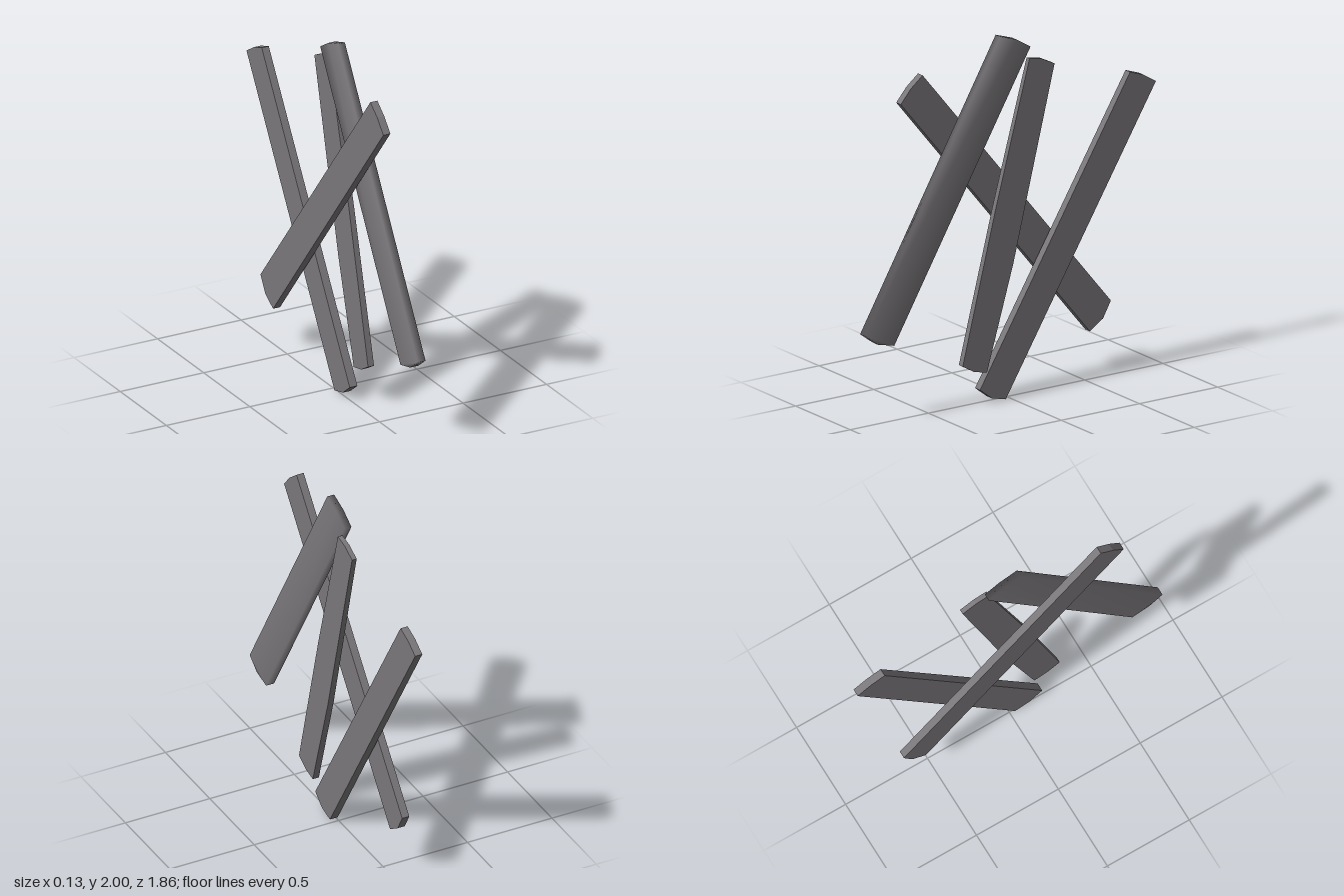
import * as THREE from 'three';
import { mergeVertices } from 'three/addons/utils/BufferGeometryUtils.js';

// A flat plank lying in the z-y plane: outline as [z, y] points,
// with the x range of its lower and upper ends.
function plankGeometry(outline, low, high, smooth) {
  const shape = new THREE.Shape(outline.map(([z, y]) => new THREE.Vector2(-z, y)));
  let geo = new THREE.ExtrudeGeometry(shape, { depth: 1, bevelEnabled: false });
  geo.rotateY(Math.PI / 2);

  // Set the thickness, varying slightly from the lower to the upper end
  geo.computeBoundingBox();
  const { min, max } = geo.boundingBox;
  const pos = geo.attributes.position;
  for (let i = 0; i < pos.count; i++) {
    const t = (pos.getY(i) - min.y) / (max.y - min.y);
    const x0 = THREE.MathUtils.lerp(low[0], high[0], t);
    const x1 = THREE.MathUtils.lerp(low[1], high[1], t);
    pos.setX(i, THREE.MathUtils.lerp(x0, x1, pos.getX(i)));
  }

  // Soft plank shares its normals across the edges
  if (smooth) {
    geo.deleteAttribute('normal');
    geo.deleteAttribute('uv');
    geo = mergeVertices(geo, 1e-4);
  }
  geo.computeVertexNormals();
  return geo;
}

export function createModel() {
  const group = new THREE.Group();
  group.name = 'planks';
  const grey = new THREE.MeshStandardMaterial({ color: 0x7a777a });
  grey.name = 'weathered grey';

  // Each outline has a pointed end at the bottom and the top
  const planks = [
    { name: 'frontPlank', smooth: true, low: [-0.01, 0.038], high: [-0.007, 0.033],
      outline: [[0.93, 0.51], [0.85, 0.45], [0.745, 0.425], [-0.13, 1.91], [-0.04, 1.965], [0.065, 2.0]] },
    { name: 'crossPlank', low: [-0.06, -0.018], high: [-0.066, -0.024],
      outline: [[0.66, 1.72], [-0.545, 0.255], [-0.63, 0.31], [-0.68, 0.4], [0.52, 1.855], [0.595, 1.795]] },
    { name: 'middlePlank', low: [0.028, 0.064], high: [0.033, 0.06],
      outline: [[0.325, 0.24], [0.25, 0.197], [0.17, 0.18], [0.0, 0.75], [-0.265, 1.8], [-0.185, 1.84], [-0.105, 1.855], [0.115, 1.06]] },
    { name: 'backPlank', low: [-0.01, 0.036], high: [-0.006, 0.036],
      outline: [[0.195, 0.08], [0.12, 0.022], [0.03, 0.0], [-0.93, 1.575], [-0.85, 1.625], [-0.765, 1.655]] },
  ];

  for (const p of planks) {
    const mesh = new THREE.Mesh(plankGeometry(p.outline, p.low, p.high, p.smooth), grey);
    mesh.name = p.name;
    group.add(mesh);
  }
  return group;
}
